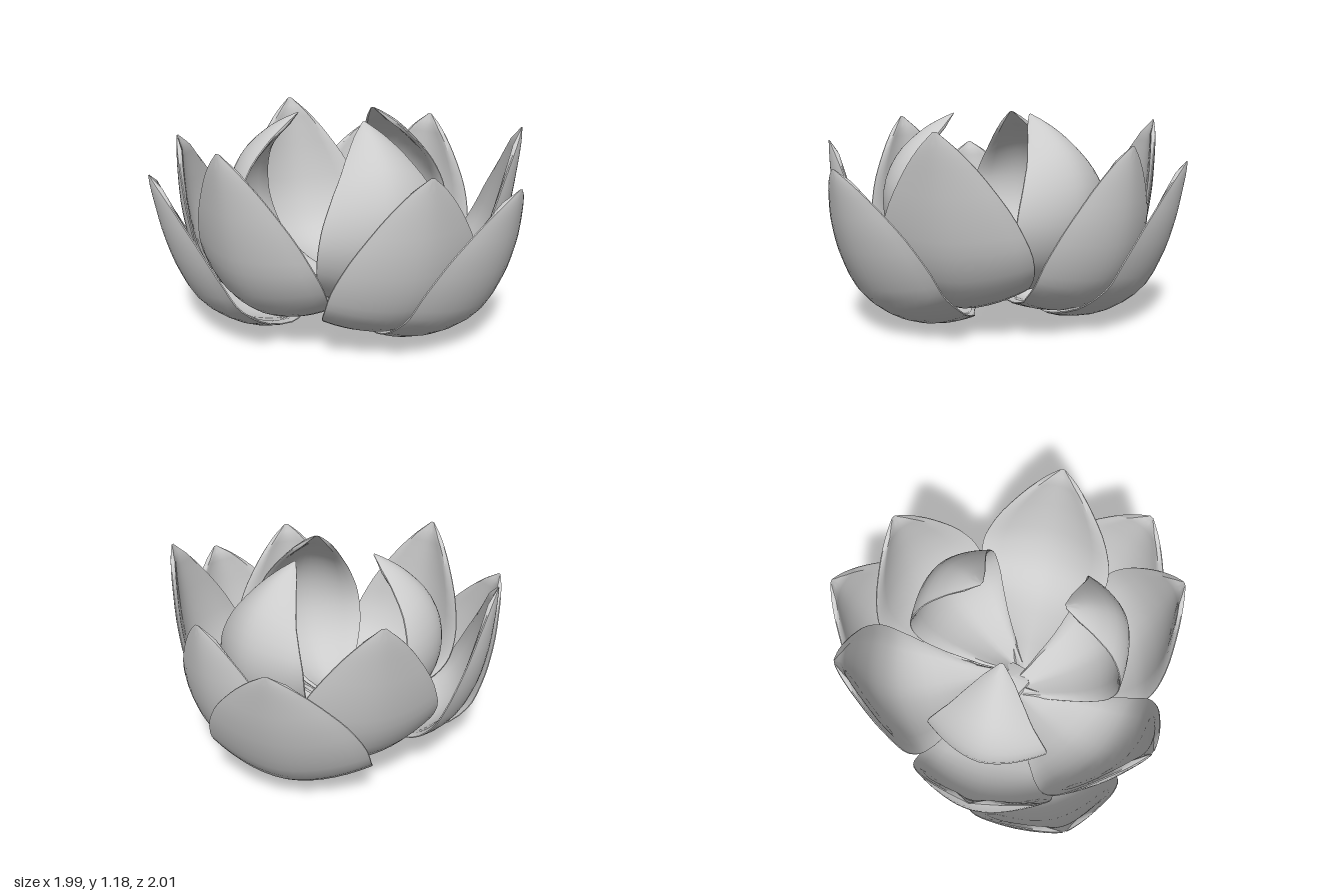
import * as THREE from 'three';
import { toCreasedNormals } from 'three/addons/utils/BufferGeometryUtils.js';

const ROWS = 26, COLS = 14;

// Cupped solid petal pointing along +x; stations are [radius, height, half width] along its spine.
// curl hollows the tip, lean shifts and rolls the foot to one side.
function petalGeometry({ stations, curl, lean }) {
  const spine = new THREE.CatmullRomCurve3(stations.map((s) => new THREE.Vector3(...s)));
  const positions = [], index = [], ring = 2 * (COLS + 1);
  for (let i = 0; i <= ROWS; i++) {
    const t = i / ROWS;
    const p = spine.getPoint(t), d = spine.getTangent(t);
    const len = Math.hypot(d.x, d.y) || 1;
    const nx = -d.y / len, ny = d.x / len; // towards the hollow side
    const w = Math.max(p.z, 0.004);
    const cup = w * (0.14 + 0.15 * Math.sin(Math.PI * t) + curl * t);
    const shift = lean * Math.max(0, 1 - 1.8 * t);
    for (let j = 0; j < ring; j++) {
      const inner = j > COLS;
      const s = inner ? 1 - (2 * (j - COLS - 1)) / COLS : -1 + (2 * j) / COLS;
      // Inner skin bevels down to a thin rim
      const bevel = Math.min(1, 0.2 + 5 * (1 - Math.abs(s)));
      const thick = inner ? 0.032 * bevel * Math.min(1, w / 0.1) : 0;
      const h = cup * Math.pow(Math.abs(s), 1.8) + thick + 0.7 * shift * Math.max(0, -s);
      positions.push(p.x + nx * h, p.y + ny * h, w * s + shift);
    }
  }
  for (let i = 0; i < ROWS; i++) {
    for (let j = 0; j < ring; j++) {
      const k = (j + 1) % ring;
      const a = i * ring + j, b = a + ring, c = i * ring + k, e = c + ring;
      index.push(a, b, c, c, b, e);
    }
  }
  const geometry = new THREE.BufferGeometry();
  geometry.setAttribute('position', new THREE.Float32BufferAttribute(positions, 3));
  geometry.setIndex(index);
  return toCreasedNormals(geometry, 0.8);
}

// Four whorls of three petals; angle is measured from +x towards +z
const WHORLS = [
  {
    name: 'innerPetal', angle: 60, curl: 0.24, lean: 0.07,
    stations: [[0.04, 0.12, 0.06], [0.2, 0.14, 0.15], [0.42, 0.22, 0.26], [0.59, 0.37, 0.335],
      [0.68, 0.57, 0.355], [0.68, 0.77, 0.335], [0.6, 0.95, 0.265], [0.46, 1.085, 0.165], [0.35, 1.15, 0.085], [0.27, 1.185, 0.01]],
  },
  {
    name: 'upperPetal', angle: 0, curl: 0.12, lean: 0.05,
    stations: [[0.04, 0.11, 0.03], [0.2, 0.105, 0.11], [0.4, 0.115, 0.25], [0.62, 0.16, 0.365],
      [0.78, 0.27, 0.415], [0.89, 0.46, 0.415], [0.945, 0.68, 0.345], [0.975, 0.9, 0.215], [0.99, 1.05, 0.095], [0.99, 1.13, 0.01]],
  },
  {
    name: 'middlePetal', angle: 58, curl: 0.12, lean: 0.05,
    stations: [[0.04, 0.09, 0.03], [0.22, 0.09, 0.11], [0.42, 0.09, 0.26], [0.66, 0.13, 0.385],
      [0.82, 0.25, 0.42], [0.91, 0.42, 0.415], [0.96, 0.62, 0.345], [0.98, 0.83, 0.215], [0.985, 0.97, 0.095], [0.985, 1.04, 0.01]],
  },
  {
    name: 'outerPetal', angle: 31, curl: 0.1, lean: 0.02,
    stations: [[0.04, 0.045, 0.03], [0.22, 0.035, 0.08], [0.41, 0.0, 0.28], [0.68, 0.05, 0.43],
      [0.88, 0.19, 0.455], [0.985, 0.38, 0.435], [1.05, 0.58, 0.35], [1.085, 0.75, 0.22], [1.105, 0.87, 0.095], [1.11, 0.93, 0.01]],
  },
];

export function createModel() {
  const flower = new THREE.Group();
  flower.name = 'flower';
  const material = new THREE.MeshStandardMaterial({ color: 0xcccccc });

  // Petals
  for (const whorl of WHORLS) {
    const geometry = petalGeometry(whorl);
    for (let n = 0; n < 3; n++) {
      const petal = new THREE.Mesh(geometry, material);
      petal.name = whorl.name + (n + 1);
      petal.rotation.y = -THREE.MathUtils.degToRad(whorl.angle + 120 * n);
      petal.position.z = 0.11;
      flower.add(petal);
    }
  }

  // Small flared heart where the petals meet
  const profile = [[0, 0.05], [0.03, 0.05], [0.05, 0.1], [0.12, 0.14], [0.11, 0.17], [0, 0.21]]
    .map(([r, y]) => new THREE.Vector2(r, y));
  const heart = new THREE.Mesh(toCreasedNormals(new THREE.LatheGeometry(profile, 7), 0.6), material);
  heart.name = 'heart';
  heart.position.set(-0.01, 0, 0.11);
  flower.add(heart);

  return flower;
}
